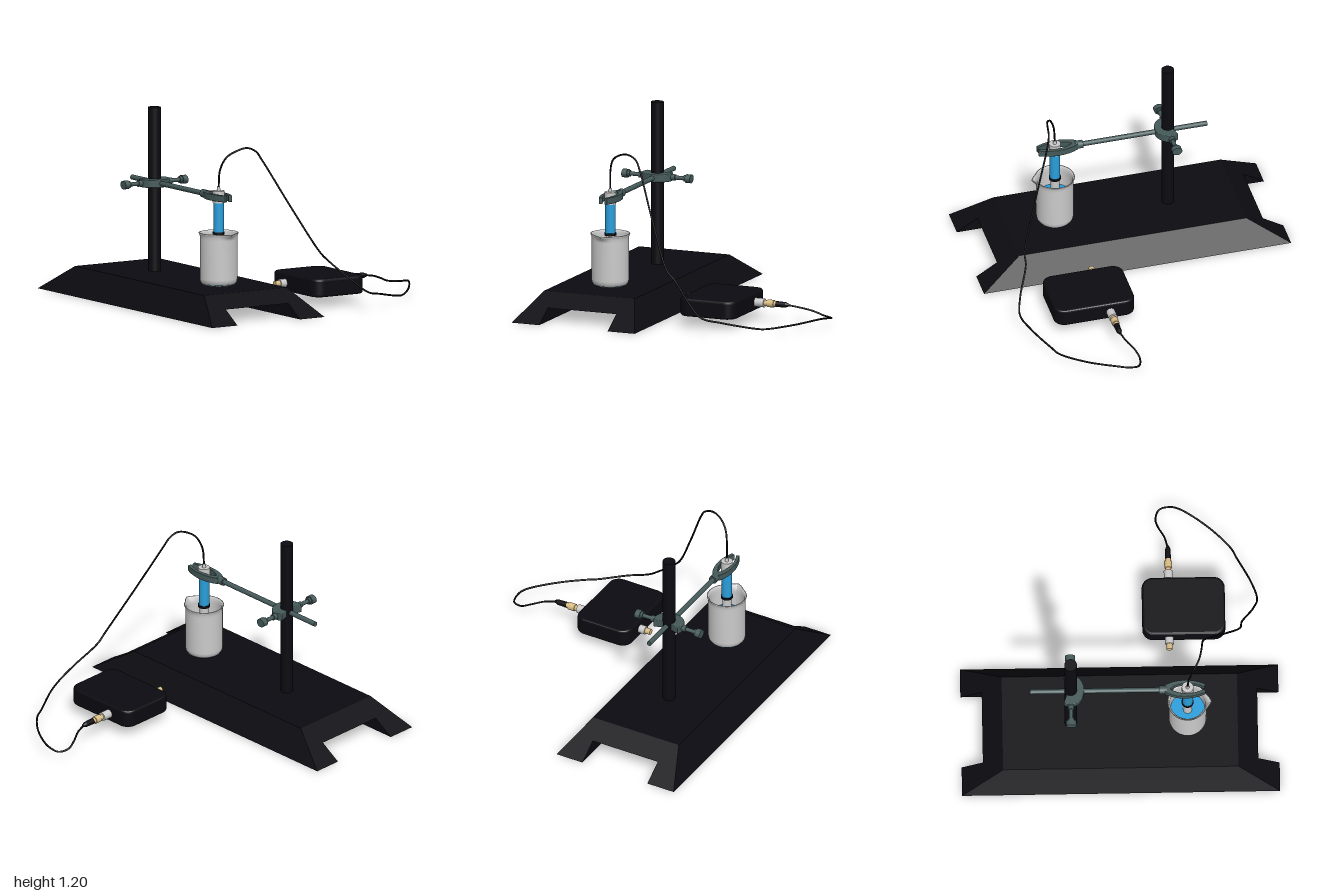
import * as THREE from 'three';

const mat = (color, side = THREE.FrontSide) => new THREE.MeshStandardMaterial({ color, side });
const BLACK = mat(0x0b0b11), STEEL = mat(0x465a5a), BLUE = mat(0x2a9fdc), GOLD = mat(0xd9bd84);
const GREY = mat(0xcccccc), GLASS = mat(0xbcbcbc, THREE.DoubleSide);
const STAND_X = -0.525, ARM_Y = 0.727, ROD_Z = -0.31, CUP_Z = 0.425;

export function createModel() {
  const model = new THREE.Group();

  const add = (name, geometry, material, x = 0, y = 0, z = 0, parent = model) => {
    const mesh = new THREE.Mesh(geometry, material);
    mesh.name = name;
    mesh.position.set(x, y, z);
    parent.add(mesh);
    return mesh;
  };
  // Cylinder running between two coordinates of one axis; r1 at the start, r2 at the end
  const rod = (name, axis, from, to, r1, r2, material, x, y, z, sides = 24) => {
    const g = new THREE.CylinderGeometry(r2, r1, to - from, sides);
    if (axis === 'x') g.rotateZ(-Math.PI / 2);
    if (axis === 'z') g.rotateX(Math.PI / 2);
    const mesh = add(name, g, material, x, y, z);
    mesh.position[axis] = (from + to) / 2;
    return mesh;
  };
  // Block whose top rectangle differs from its bottom one: [xMin, xMax, zHalf]
  const frustum = (name, bottom, top, y0, y1) => {
    const g = new THREE.BoxGeometry(1, 1, 1), p = g.attributes.position;
    for (let i = 0; i < p.count; i++) {
      const up = p.getY(i) > 0, r = up ? top : bottom;
      p.setXYZ(i, p.getX(i) < 0 ? r[0] : r[1], up ? y1 : y0, Math.sign(p.getZ(i)) * r[2]);
    }
    g.computeVertexNormals();
    add(name, g, BLACK);
  };
  // Shape drawn in x and z, given height h and centred on y = 0
  const slab = (shape, h, bevel = 0) => new THREE.ExtrudeGeometry(shape, {
    depth: h - 2 * bevel, bevelEnabled: bevel > 0, bevelSize: bevel,
    bevelThickness: bevel, bevelSegments: 3, curveSegments: 20,
  }).rotateX(Math.PI / 2).translate(0, h / 2 - bevel, 0);

  // Sloped base with a channel running underneath
  frustum('baseDeck', [-0.893, -0.164, 0.866], [-0.84, -0.22, 0.74], 0.085, 0.165);
  frustum('baseLegRight', [-0.95, -0.76, 1], [-0.893, -0.76, 0.866], 0, 0.085);
  frustum('baseLegLeft', [-0.29, -0.105, 1], [-0.29, -0.164, 0.866], 0, 0.085);

  // Upright and horizontal arm
  rod('upright', 'y', 0.16, 1.205, 0.04, 0.04, BLACK, STAND_X, 0, ROD_Z, 32);
  rod('arm', 'z', -0.565, 0.26, 0.016, 0.016, STEEL, STAND_X, ARM_Y, 0);
  rod('armCollar', 'z', 0.245, 0.295, 0.026, 0.026, STEEL, STAND_X, ARM_Y, 0);

  // Open clamp head around the upright
  const head = new THREE.Shape();
  head.absellipse(0, 0, 0.095, 0.08, -0.5, Math.PI + 0.5, false);
  head.absarc(0, 0, 0.042, Math.PI + 0.6, -0.6, true);
  add('clampHead', slab(head, 0.05, 0.005), STEEL, STAND_X, ARM_Y, ROD_Z);

  // Thumb screws on both sides of the clamp head
  for (const s of [-1, 1]) {
    const span = (a, b) => [STAND_X + Math.min(s * a, s * b), STAND_X + Math.max(s * a, s * b)];
    rod('screwShaft', 'x', ...span(0.04, 0.2), 0.013, 0.013, STEEL, 0, ARM_Y, ROD_Z);
    rod('screwBoss', 'x', ...span(0.08, 0.125), 0.02, 0.02, STEEL, 0, ARM_Y, ROD_Z);
    rod('screwHub', 'x', ...span(0.185, 0.205), 0.021, 0.021, STEEL, 0, ARM_Y, ROD_Z);
    const wing = rod('screwWing', 'x', ...span(0.2, 0.235), 0.032, 0.032, STEEL, 0, ARM_Y, ROD_Z);
    wing.scale.set(1, 0.85, 1);
  }

  // Two curved jaws gripping the probe
  for (const s of [-1, 1]) {
    const jaw = new THREE.Shape();
    jaw.moveTo(0, 0.285);
    jaw.lineTo(s * 0.022, 0.285);
    jaw.bezierCurveTo(s * 0.065, 0.36, s * 0.06, 0.46, s * 0.025, 0.535);
    jaw.lineTo(s * 0.01, 0.53);
    jaw.bezierCurveTo(s * 0.045, 0.46, s * 0.048, 0.37, 0, 0.31);
    add('jaw', slab(jaw, 0.042, 0.003), STEEL, STAND_X, ARM_Y, 0);
  }

  // Beaker with a flared rim pulled out into a spout
  const profile = [[0, 0.167], [0.085, 0.167], [0.104, 0.174], [0.115, 0.19], [0.118, 0.21],
    [0.118, 0.46], [0.118, 0.48], [0.122, 0.492], [0.126, 0.5], [0.119, 0.502], [0.111, 0.488],
    [0.11, 0.46], [0.11, 0.2], [0.09, 0.178], [0, 0.178]].map(([x, y]) => new THREE.Vector2(x, y));
  const beaker = new THREE.LatheGeometry(profile, 64), p = beaker.attributes.position;
  for (let i = 0; i < p.count; i++) {
    const x = p.getX(i), y = p.getY(i), z = p.getZ(i);
    const lift = THREE.MathUtils.smoothstep(y, 0.455, 0.5);
    const near = Math.max(0, 1 - Math.abs(Math.atan2(x, z)) / 0.5);
    p.setZ(i, z + 0.027 * lift * near);
  }
  beaker.computeVertexNormals();
  add('beaker', beaker, GLASS, STAND_X, 0, CUP_Z);
  rod('liquid', 'y', 0.18, 0.36, 0.109, 0.109, BLUE, STAND_X, 0, CUP_Z, 48);

  // Probe held in the jaws
  rod('probeTip', 'y', 0.27, 0.492, 0.028, 0.028, GREY, STAND_X, 0, CUP_Z);
  rod('probeSeal', 'y', 0.488, 0.504, 0.038, 0.038, BLACK, STAND_X, 0, CUP_Z);
  rod('probeBody', 'y', 0.5, 0.695, 0.033, 0.033, BLUE, STAND_X, 0, CUP_Z);
  rod('probeCap', 'y', 0.69, 0.766, 0.037, 0.037, GREY, STAND_X, 0, CUP_Z);
  rod('probeNeck', 'y', 0.765, 0.79, 0.012, 0.009, GREY, STAND_X, 0, CUP_Z);

  // Rounded control box
  const w = 0.178, d = 0.247, r = 0.055, box = new THREE.Shape();
  box.absarc(w - r, d - r, r, 0, Math.PI / 2);
  box.absarc(r - w, d - r, r, Math.PI / 2, Math.PI);
  box.absarc(r - w, r - d, r, Math.PI, Math.PI * 1.5);
  box.absarc(w - r, r - d, r, Math.PI * 1.5, Math.PI * 2);
  add('controlBox', slab(box, 0.115, 0.014), BLACK, 0.235, 0.1225, 0.412);

  // Connectors along the box's short axis: [name, from, to, r1, r2, material]
  for (const [name, a, b, r1, r2, m] of [
    ['socketCollar', 0, 0.05, 0.027, 0.027, GREY],
    ['socketTip', -0.035, 0.005, 0.019, 0.019, GOLD],
    ['plugCollar', 0.42, 0.49, 0.028, 0.028, GREY],
    ['plugNeck', 0.485, 0.515, 0.018, 0.018, GOLD],
    ['plugRing', 0.51, 0.555, 0.024, 0.024, GOLD],
    ['plugEnd', 0.55, 0.575, 0.018, 0.018, GOLD],
    ['plugSleeve', 0.57, 0.635, 0.019, 0.017, BLACK],
    ['plugTaper', 0.635, 0.658, 0.017, 0.008, BLACK],
  ]) rod(name, 'x', a, b, r1, r2, m, 0, 0.118, 0.32);

  // Cable from the probe, down in front of the box and round to the plug
  const path = [[-0.525, 0.785, 0.425], [-0.52, 0.9, 0.435], [-0.49, 0.98, 0.465], [-0.43, 1.022, 0.5],
    [-0.37, 1.035, 0.515], [-0.31, 1.01, 0.523], [-0.275, 0.955, 0.54], [-0.13, 0.65, 0.66],
    [0.015, 0.37, 0.768], [0.07, 0.315, 0.775], [0.21, 0.18, 0.85], [0.3, 0.11, 0.876],
    [0.42, 0.083, 0.84], [0.6, 0.046, 0.75], [0.66, 0.04, 0.72], [0.8, 0.052, 0.58],
    [0.92, 0.068, 0.4], [0.938, 0.062, 0.34], [0.925, 0.05, 0.27], [0.86, 0.056, 0.246],
    [0.8, 0.08, 0.26], [0.72, 0.105, 0.3], [0.645, 0.118, 0.32]].map(v => new THREE.Vector3(...v));
  add('cable', new THREE.TubeGeometry(new THREE.CatmullRomCurve3(path), 200, 0.006, 8), BLACK);

  return model;
}
